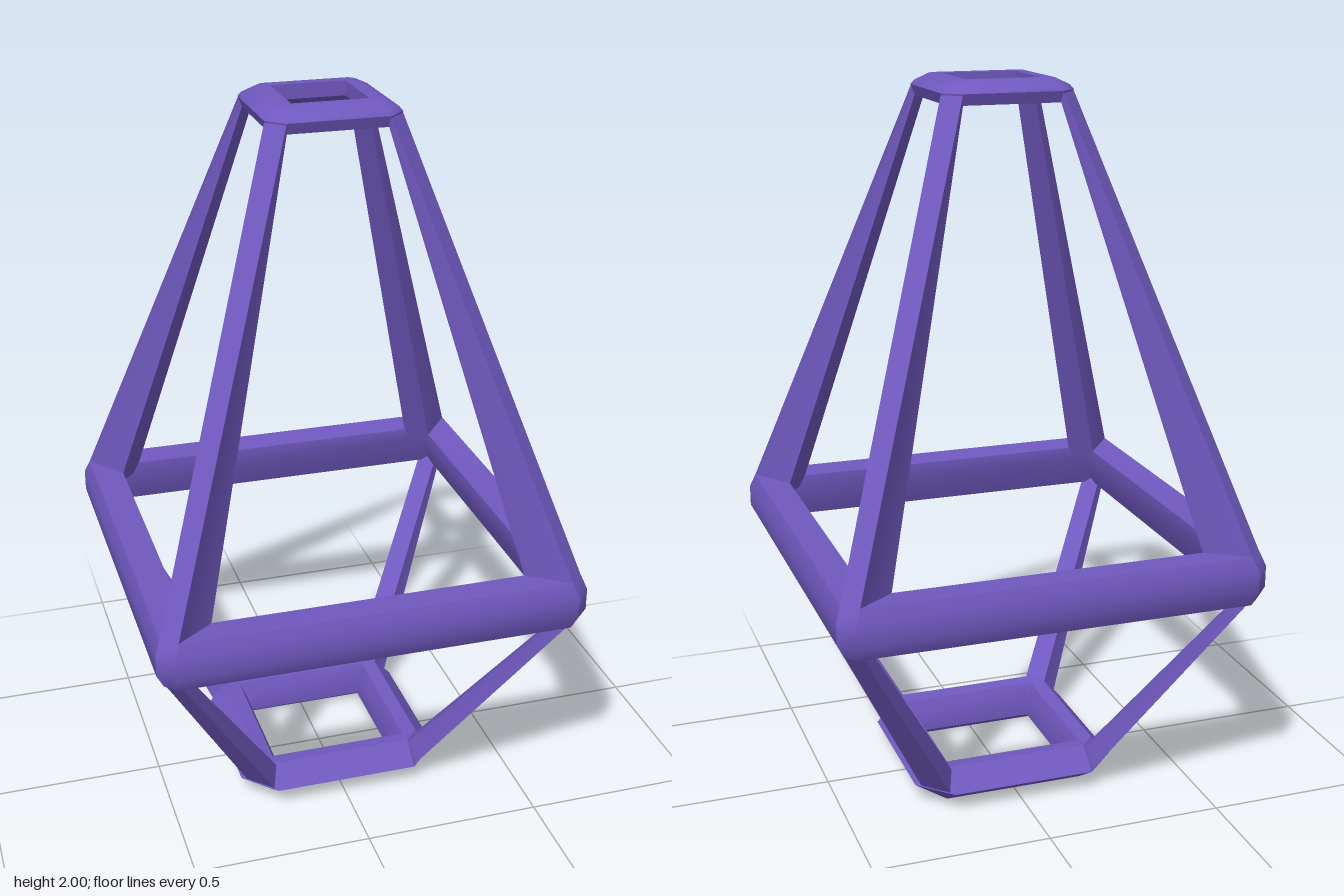
import * as THREE from 'three';
import { toCreasedNormals } from 'three/addons/utils/BufferGeometryUtils.js';

// Skin a stack of equal-length loops; closed stacks form a ring, open ones get end caps
function loft(sections, closed) {
  const n = sections[0].length, m = sections.length;
  const index = [];
  for (let i = 0; i < (closed ? m : m - 1); i++) {
    for (let j = 0; j < n; j++) {
      const a = i * n + j, b = i * n + (j + 1) % n;
      const c = ((i + 1) % m) * n + j, d = ((i + 1) % m) * n + (j + 1) % n;
      index.push(a, c, b, b, c, d);
    }
  }
  if (!closed) {
    const t = (m - 1) * n;
    for (let j = 1; j < n - 1; j++) index.push(0, j, j + 1, t, t + j + 1, t + j);
  }
  const g = new THREE.BufferGeometry();
  g.setAttribute('position', new THREE.Float32BufferAttribute(sections.flat(2), 3));
  g.setIndex(index);
  return toCreasedNormals(g, 0.6);
}

// Square loop of half-width r at height y, corners cut by c
function squareLoop([r, y, c]) {
  const k = r - c;
  return [[r, y, -k], [r, y, k], [k, y, r], [-k, y, r],
    [-r, y, k], [-r, y, -k], [-k, y, -r], [k, y, -r]];
}

// Leg section on the +x +z diagonal: outer pair and inner pair of points
function legLoop([y, a, b, c, d]) {
  return [[d, y, c], [a, y, b], [b, y, a], [c, y, d]];
}

export function createModel() {
  const model = new THREE.Group();
  const material = new THREE.MeshStandardMaterial({ color: 0x7059c0 });

  const add = (name, geometry, turn = 0) => {
    const mesh = new THREE.Mesh(geometry, material);
    mesh.name = name;
    mesh.rotation.y = turn;
    model.add(mesh);
  };

  // Square rings: profile points are [half-width, height, corner cut]
  const rings = {
    topRing: [[0.17, 1.94, 0.03], [0.182, 1.97, 0.045], [0.172, 1.982, 0.04], [0.135, 2, 0.015],
      [0.103, 2, 0.001], [0.103, 1.96, 0.001], [0.13, 1.94, 0.001]],
    middleRing: [[0.57, 0.64, 0.03], [0.59, 0.68, 0.04], [0.59, 0.74, 0.04], [0.575, 0.78, 0.04],
      [0.49, 0.775, 0.001], [0.49, 0.74, 0.001], [0.53, 0.64, 0.001]],
    bottomRing: [[0.205, 0, 0.005], [0.295, 0.06, 0.09], [0.24, 0.12, 0.04],
      [0.2, 0.115, 0.001], [0.18, 0.07, 0.001], [0.18, 0.02, 0.001]],
  };
  for (const [name, profile] of Object.entries(rings)) {
    add(name, loft(profile.map(squareLoop), true));
  }

  // Tapered corner legs: [height, outer far, outer near, inner near, inner far]
  const upperLeg = loft([[0.74, 0.588, 0.548, 0.44, 0.5], [1.965, 0.182, 0.137, 0.127, 0.165]].map(legLoop), false);
  const lowerLeg = loft([[0.06, 0.28, 0.215, 0.17, 0.215], [0.68, 0.588, 0.548, 0.52, 0.56]].map(legLoop), false);
  for (let i = 0; i < 4; i++) {
    add('upperLeg', upperLeg, i * Math.PI / 2);
    add('lowerLeg', lowerLeg, i * Math.PI / 2);
  }
  return model;
}
